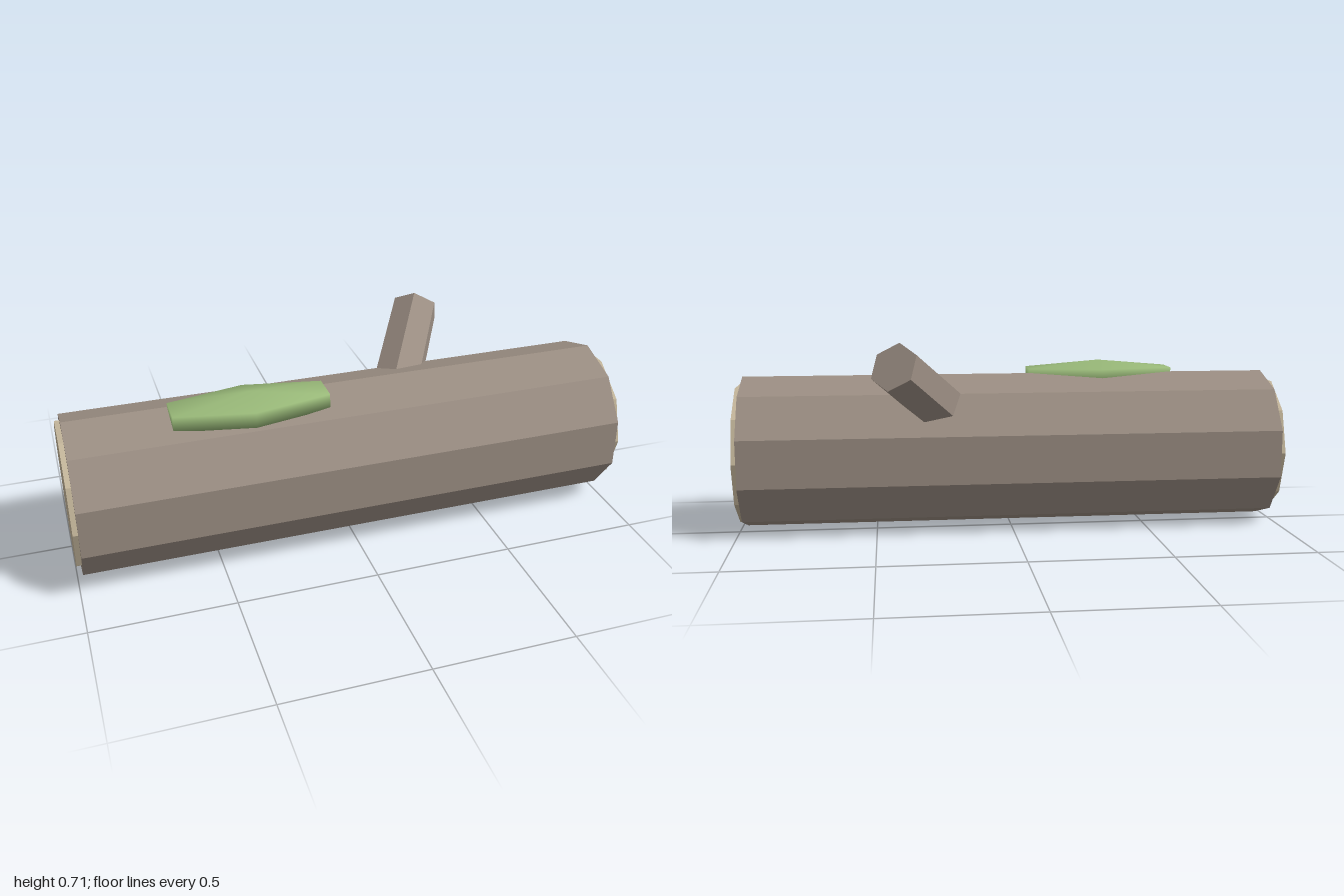
import * as THREE from 'three';

const flat = (name, color, flatShading = true) =>
  Object.assign(new THREE.MeshStandardMaterial({ color, flatShading }), { name });

export function createModel() {
  const bark = flat('bark', 0x9a8d82);
  const cutWood = flat('cut wood', 0xc2b499);
  const moss = flat('moss', 0x98b878, false);

  const model = new THREE.Group();
  model.name = 'fallenLog';
  const add = (name, geometry, material, x, y, z) => {
    const mesh = new THREE.Mesh(geometry, material);
    mesh.name = name;
    mesh.position.set(x, y, z);
    model.add(mesh);
    return mesh;
  };

  // Ten-sided trunk lying along x, with a corner at the top and bottom
  const R = 0.281, trunkZ = 0.094;
  const trunk = new THREE.CylinderGeometry(R, R, 1.965, 10, 1, false, Math.PI / 2).rotateZ(Math.PI / 2);
  add('trunk', trunk, bark, 0, R, trunkZ);

  // Pale sawn faces, turned half a side against the trunk
  for (const side of [-1, 1]) {
    const disc = new THREE.CylinderGeometry(0.26, 0.26, 0.04, 10).rotateZ(Math.PI / 2);
    add(side > 0 ? 'leftCutFace' : 'rightCutFace', disc, cutWood, side * 0.98, R, trunkZ);
  }

  // Hexagonal branch stub, pivoted at its outer end and running into the trunk
  const length = 0.42;
  const stub = new THREE.CylinderGeometry(0.09, 0.095, length, 6, 1, false, -0.27).translate(0, -length / 2, 0);
  add('branchStub', stub, bark, 0.43, 0.632, -0.298).rotation.set(-0.983, 0, -0.486);

  // Flattened moss cushion on top
  const cushion = new THREE.SphereGeometry(1, 6, 3).rotateY(Math.PI / 2);
  add('mossPatch', cushion, moss, -0.353, 0.549, 0.149).scale.set(0.365, 0.056, 0.125);

  return model;
}
